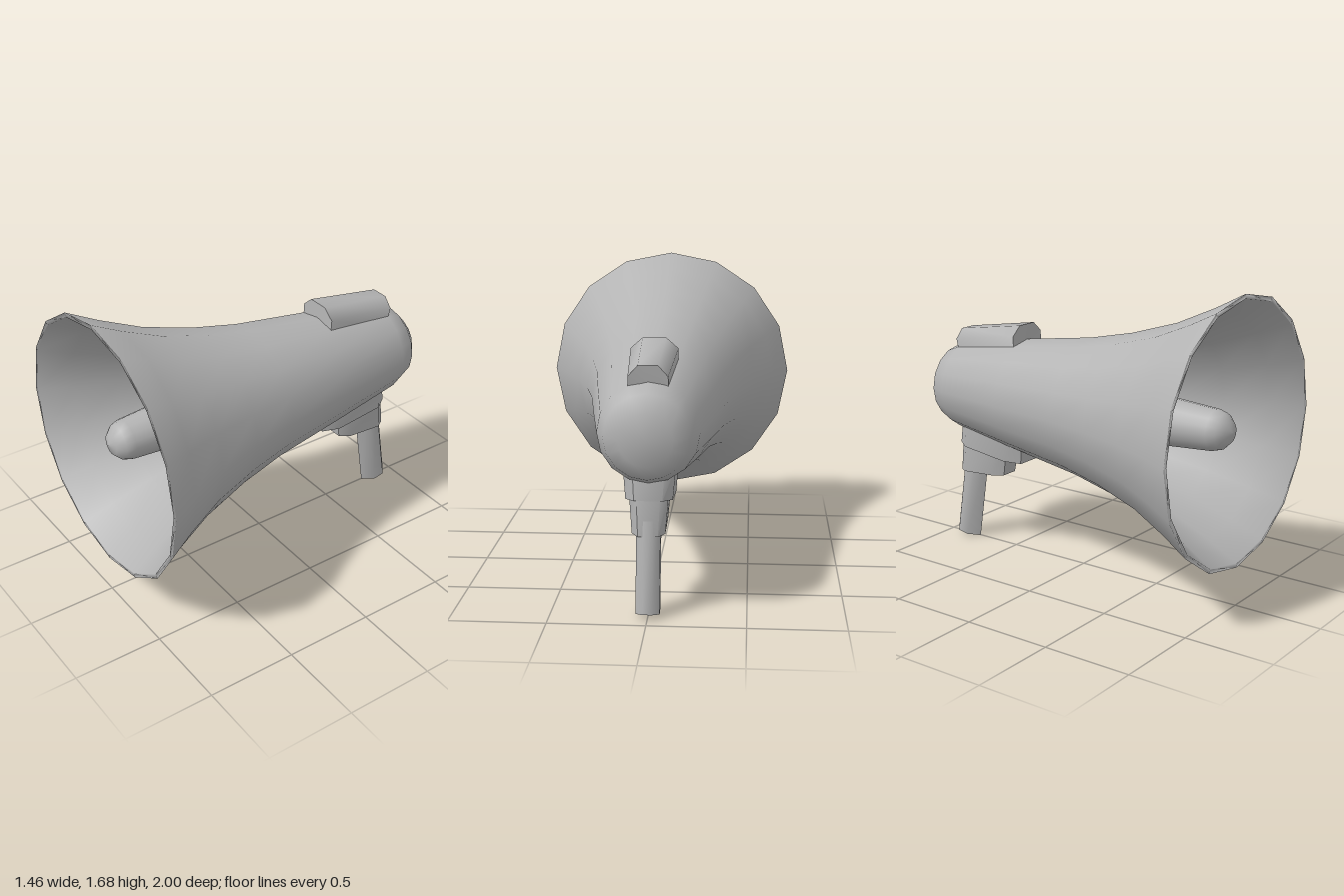
import * as THREE from 'three';
import { toCreasedNormals } from 'three/addons/utils/BufferGeometryUtils.js';

const SIDES = 16;
const AXIS_Y = 0.945;

// Solid of revolution around the horn axis; profile pairs are [radius, z]
function turned(profile) {
  const points = profile.map(([r, z]) => new THREE.Vector2(r, z));
  const geo = new THREE.LatheGeometry(points, SIDES);
  geo.rotateX(Math.PI / 2);
  geo.translate(0, AXIS_Y, 0);
  return geo;
}

// Closed solid through equal-length rings, each counterclockwise seen from the last ring's side
function loft(rings, crease = 0.9) {
  const n = rings[0].length;
  const index = [];
  for (let k = 0; k < rings.length - 1; k++) {
    for (let i = 0; i < n; i++) {
      const j = (i + 1) % n;
      const a = k * n + i, b = k * n + j, c = a + n, d = b + n;
      index.push(a, b, d, a, d, c);
    }
  }
  const top = (rings.length - 1) * n;
  for (let i = 1; i < n - 1; i++) {
    index.push(0, i + 1, i, top, top + i, top + i + 1);
  }
  const geo = new THREE.BufferGeometry();
  geo.setAttribute('position', new THREE.Float32BufferAttribute(rings.flat(2), 3));
  geo.setIndex(index);
  return toCreasedNormals(geo, crease);
}

// Tilted plan ring: shape gives [x factor, position from front (0) to back (1)]
function planRing(shape, w, zf, yf, zb, yb) {
  return shape.map(([x, t]) => [x * w, yf + (yb - yf) * t, zf + (zb - zf) * t]);
}

export function createModel() {
  const group = new THREE.Group();
  const grey = new THREE.MeshStandardMaterial({ color: 0xb4b4b4 });
  grey.name = 'grey';
  const add = (name, geo) => {
    const mesh = new THREE.Mesh(geo, grey);
    mesh.name = name;
    group.add(mesh);
  };

  // Outer shell, rim, inner bell and throat floor in one sweep
  add('hornShell', turned([
    [0, -1], [0.135, -1], [0.217, -0.93], [0.258, -0.83], [0.325, -0.39],
    [0.388, 0.05], [0.448, 0.32], [0.535, 0.6], [0.64, 0.83], [0.73, 1],
    [0.705, 1], [0.615, 0.83], [0.51, 0.6], [0.425, 0.32], [0.39, 0.16],
    [0.28, 0.1], [0.15, 0.1],
  ]));

  // Central sound plug with a domed tip
  add('soundPlug', turned([
    [0.165, 0.08], [0.112, 0.85], [0.097, 0.9], [0.058, 0.94], [0, 0.955],
  ]));

  // Raised pad on top, chamfered and tapering to the back
  const padRing = (w, z, yTop, zLow) => [
    [-w, 1.12, zLow], [w, 1.12, zLow], [w, yTop - 0.055, z],
    [w * 0.5, yTop, z], [-w * 0.5, yTop, z], [-w, yTop - 0.055, z],
  ];
  add('topPad', loft([
    padRing(0.1, -0.845, 1.285, -0.82),
    padRing(0.125, -0.4, 1.355, -0.39),
  ]));

  // Stepped housing under the body
  const block = [
    [0.6, 0], [1, 0.2], [1, 0.85], [0.6, 1],
    [-0.6, 1], [-1, 0.85], [-1, 0.2], [-0.6, 0],
  ];
  add('upperHousing', loft([
    planRing(block, 0.12, -0.4, 0.542, -0.852, 0.6),
    planRing(block, 0.135, -0.38, 0.74, -0.825, 0.76),
  ]));
  add('lowerHousing', loft([
    planRing(block, 0.085, -0.545, 0.44, -0.87, 0.42),
    planRing(block, 0.1, -0.515, 0.62, -0.845, 0.62),
  ]));

  // Slanted grip with a pointed front edge
  const gripShape = [[0, 0], [1, 0.35], [1, 0.8], [0.4, 1], [-0.4, 1], [-1, 0.8], [-1, 0.35]];
  add('handle', loft([
    planRing(gripShape, 0.06, -0.78, 0, -0.932, 0.03),
    planRing(gripShape, 0.062, -0.69, 0.6, -0.84, 0.63),
  ], 1.1));

  // Ring order above runs clockwise for plan rings seen from below to above
  return group;
}
